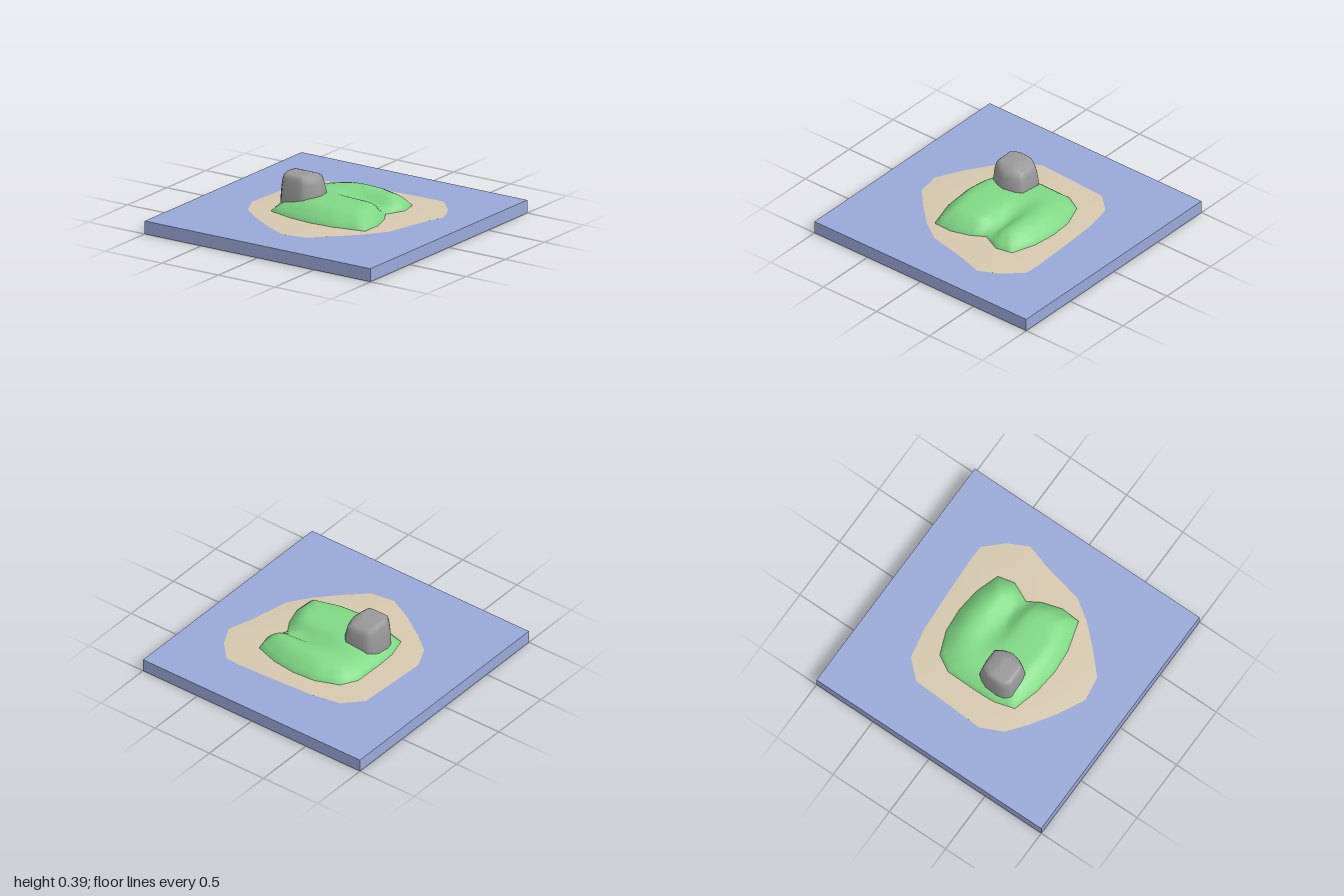
import * as THREE from 'three';

const material = (color, side = THREE.FrontSide) =>
  new THREE.MeshStandardMaterial({ color, side });

// Split every outline edge into n pieces.
function subdivide(outline, n) {
  return outline.flatMap(([x, z], i) => {
    const [x2, z2] = outline[(i + 1) % outline.length];
    return Array.from({ length: n }, (_, k) => [x + (x2 - x) * k / n, z + (z2 - z) * k / n]);
  });
}

// Stack shrinking copies of an outline, rings = [scale, y], and close the top at a centre point.
function loft(outline, [cx, cz], rings, height = (x, y) => y) {
  const pos = [], index = [], n = outline.length;
  const add = (x, y, z) => pos.push(x, height(x, y, z), z);
  for (const [s, y] of rings)
    for (const [x, z] of outline) add(cx + (x - cx) * s, y, cz + (z - cz) * s);
  add(cx, rings[rings.length - 1][1], cz);
  const tip = rings.length * n;
  for (let j = 0; j < rings.length; j++) {
    for (let i = 0; i < n; i++) {
      const k = (i + 1) % n, a = j * n + i, b = j * n + k;
      if (j === rings.length - 1) index.push(a, tip, b);
      else index.push(a, a + n, b, b, a + n, b + n);
    }
  }
  const geo = new THREE.BufferGeometry();
  geo.setAttribute('position', new THREE.Float32BufferAttribute(pos, 3));
  geo.setIndex(index);
  geo.computeVertexNormals();
  return geo;
}

const SAND = [
  [-0.46, -0.54], [-0.23, -0.585], [0, -0.6], [0.2, -0.61], [0.42, -0.62], [0.53, -0.615],
  [0.66, -0.48], [0.74, -0.32], [0.68, -0.13], [0.61, 0.19], [0.5, 0.35], [0.35, 0.51],
  [0.19, 0.66], [0, 0.69], [-0.2, 0.59], [-0.4, 0.46], [-0.54, 0.35], [-0.62, 0.18],
  [-0.61, 0], [-0.6, -0.2], [-0.59, -0.4],
];
const HILL = [
  [-0.33, -0.375], [-0.15, -0.445], [0.04, -0.46], [0.23, -0.44], [0.41, -0.38], [0.44, -0.25],
  [0.37, -0.1], [0.43, 0], [0.475, 0.15], [0.465, 0.3], [0.23, 0.37], [0.04, 0.385],
  [-0.15, 0.365], [-0.355, 0.31], [-0.4, 0.15], [-0.405, 0], [-0.4, -0.25],
];
const ROCK = [
  [-0.31, -0.035], [-0.23, -0.045], [-0.12, -0.045], [-0.08, 0], [-0.055, 0.1], [-0.075, 0.17],
  [-0.12, 0.24], [-0.18, 0.25], [-0.31, 0.25], [-0.345, 0.21], [-0.36, 0.15], [-0.355, 0.05],
  [-0.335, 0],
];

// A valley opens to the right of the hill, and the left side sits a little lower.
function hillHeight(x, y, z) {
  const lift = Math.max(0, (y - 0.12) / 0.108);
  const valley = 0.08 * Math.exp(-(((z + 0.13) / 0.085) ** 2)) * THREE.MathUtils.smoothstep(x, -0.25, 0.25);
  const leftDrop = 0.025 * THREE.MathUtils.smoothstep(-x, 0.02, 0.3);
  return y - lift * (valley + leftDrop);
}

// The rock top slopes down towards its back right corner.
function rockHeight(x, y, z) {
  const lift = THREE.MathUtils.smoothstep(y, 0.2, 0.37);
  const slope = Math.max(0, x + 0.14) * 0.7 + Math.max(0, 0.07 - z) * 0.4;
  return y - lift * slope;
}

export function createModel() {
  const group = new THREE.Group();
  const add = (name, geometry, mat) => {
    const mesh = new THREE.Mesh(geometry, mat);
    mesh.name = name;
    group.add(mesh);
    return mesh;
  };

  // Water slab, open underneath
  const box = new THREE.BoxGeometry(2, 0.1, 2);
  box.setIndex(Array.from(box.index.array).filter((_, i) => i < 18 || i >= 24));
  box.clearGroups();
  add('water', box, material(0x99a8d8, THREE.DoubleSide)).position.y = 0.05;

  // Sandy shore with a thin rim below the water surface
  add('sand', loft(SAND, [0.03, 0],
    [[0.91, 0.0994], [1, 0.0994], [1, 0.1006], [0.85, 0.106], [0.7, 0.111], [0.4, 0.113]]),
  material(0xd6c8ae, THREE.DoubleSide));

  // Grassy hill
  add('hill', loft(subdivide(HILL, 3), [0.03, -0.02], [
    [1, 0.098], [1, 0.118], [0.94, 0.148], [0.87, 0.178], [0.8, 0.202], [0.72, 0.219], [0.63, 0.227],
    [0.53, 0.228], [0.43, 0.228], [0.33, 0.228], [0.22, 0.228], [0.11, 0.228],
  ], hillHeight), material(0x80d885));

  // Rock on the front right of the hill
  add('rock', loft(subdivide(ROCK, 2), [-0.21, 0.1], [
    [1, 0.14], [1, 0.2], [0.98, 0.25], [0.95, 0.3], [0.91, 0.345], [0.86, 0.37], [0.78, 0.383],
    [0.65, 0.386], [0.45, 0.386], [0.2, 0.386],
  ], rockHeight), material(0x999999));

  return group;
}
